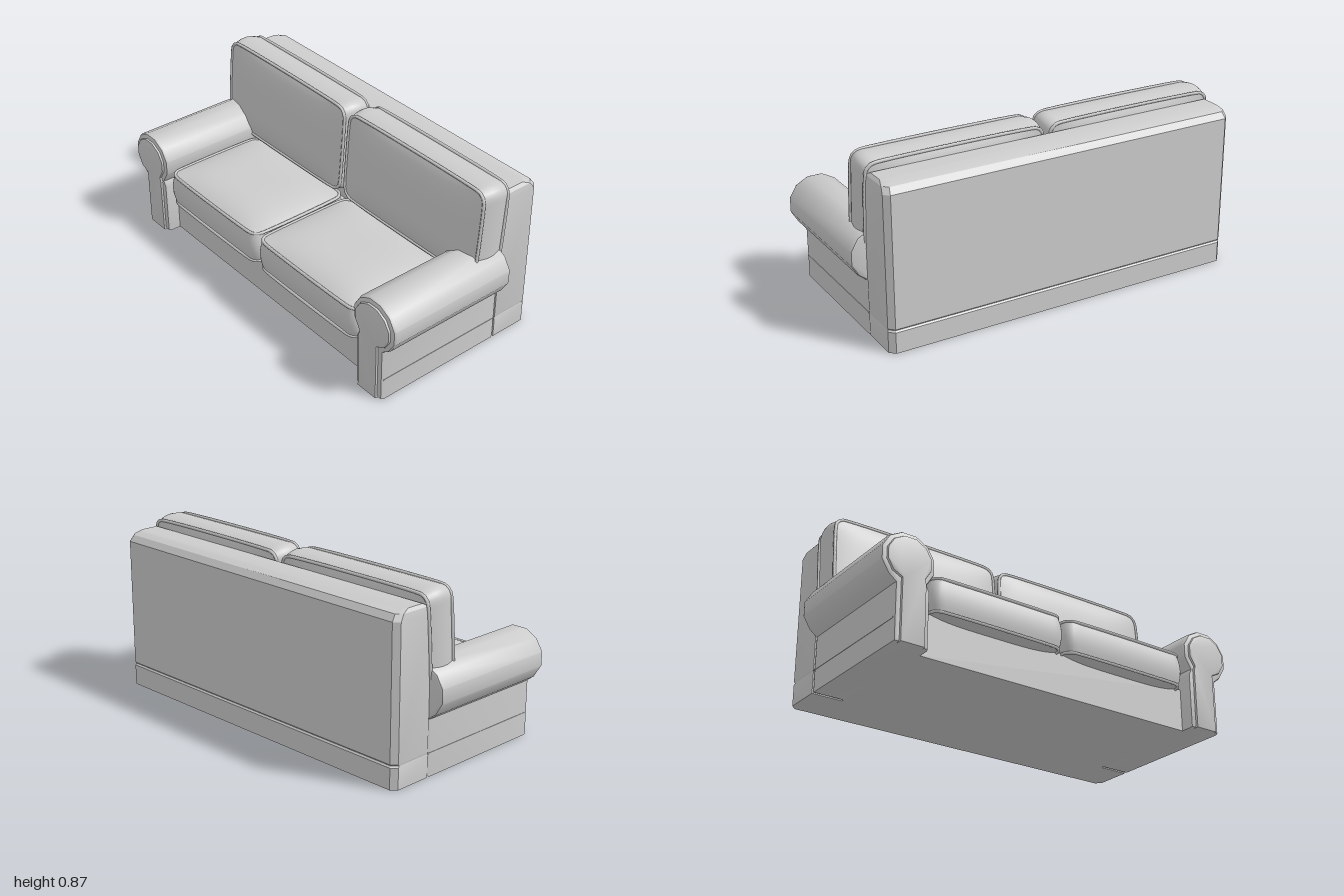
import * as THREE from 'three';
import { toCreasedNormals } from 'three/addons/utils/BufferGeometryUtils.js';

const material = new THREE.MeshStandardMaterial({ color: 0xcccccc });

function part(name, geometry, parent) {
  const mesh = new THREE.Mesh(geometry, material);
  mesh.name = name;
  parent.add(mesh);
  return mesh;
}

// Closed loft through rings of equal length, capped at both ends
function loft(rings) {
  const n = rings[0].length;
  const index = [];
  for (let r = 0; r < rings.length - 1; r++) {
    for (let i = 0; i < n; i++) {
      const j = (i + 1) % n, a = r * n + i, b = r * n + j;
      index.push(a, a + n, b, b, a + n, b + n);
    }
  }
  const top = (rings.length - 1) * n;
  for (let i = 1; i < n - 1; i++) {
    index.push(0, i, i + 1, top, top + i + 1, top + i);
  }
  const geometry = new THREE.BufferGeometry();
  geometry.setAttribute('position', new THREE.Float32BufferAttribute(rings.flat(2), 3));
  geometry.setIndex(index);
  return toCreasedNormals(geometry, 0.4);
}

// Backrest ring: plan with cut rear corners, drawn in by an inset
function backRing([y, front, rear, side]) {
  const x0 = 0.25 + front, x1 = 0.465 - rear, z = 0.925 - side, c = 0.026;
  return [[x0, y, -z], [x1 - c, y, -z], [x1, y, -z + c], [x1, y, z - c], [x1 - c, y, z], [x0, y, z]];
}

// Upright with a rolled top, seen from the front; grow shrinks or widens it
function armShape(grow) {
  const points = [[0.925 + grow, 0], [0.925 + grow, 0.275 - grow]];
  for (let deg = -45; deg <= 225; deg += 30) {
    const t = THREE.MathUtils.degToRad(deg);
    points.push([0.865 + (0.14 + grow) * Math.cos(t), 0.399 + (0.133 + grow) * Math.sin(t)]);
  }
  points.push([0.752 - grow, 0.275 - grow], [0.752 - grow, 0]);
  return new THREE.Shape(points.map(([x, y]) => new THREE.Vector2(x, y)));
}

function armGeometry(grow, from, to, bevel) {
  const geometry = new THREE.ExtrudeGeometry(armShape(grow), {
    depth: from - to - 2 * bevel, bevelThickness: bevel, bevelSize: bevel,
    bevelOffset: -bevel, bevelSegments: 2, curveSegments: 1,
  });
  geometry.translate(0, 0, bevel - from).rotateY(-Math.PI / 2);
  return toCreasedNormals(geometry, 0.65);
}

// Pillow with rounded corners, crowned faces and bulging sides; thickness along y
function cushionGeometry({ a, b, t, r, crown, bulge }) {
  const geometry = new THREE.BoxGeometry(2, 2, 2, 28, 6, 36);
  const pos = geometry.attributes.position;
  for (let i = 0; i < pos.count; i++) {
    const u = pos.getX(i), n = pos.getY(i), v = pos.getZ(i);
    const cx = THREE.MathUtils.clamp(u * a, r - a, a - r);
    const cz = THREE.MathUtils.clamp(v * b, r - b, b - r);
    const dx = u * a - cx, dz = v * b - cz;
    const k = dx && dz ? Math.max(Math.abs(dx), Math.abs(dz)) / Math.hypot(dx, dz) : 1;
    const side = bulge * (1 - n * n);
    pos.setXYZ(i,
      (cx + dx * k) * (1 + side / a),
      n * (t + crown * (1 - u ** 4) * (1 - v ** 4)),
      (cz + dz * k) * (1 + side / b));
  }
  return toCreasedNormals(geometry, 0.7);
}

// Rounded rectangular welt cord at height y
function pipingGeometry({ a, b, r }, y) {
  const points = [];
  for (let corner = 0; corner < 4; corner++) {
    const sx = corner === 0 || corner === 3 ? 1 : -1;
    const sz = corner < 2 ? 1 : -1;
    for (let i = 0; i <= 4; i++) {
      const angle = (corner + i / 4) * Math.PI / 2;
      points.push(new THREE.Vector3(sx * (a - r) + r * Math.cos(angle), y, sz * (b - r) + r * Math.sin(angle)));
    }
  }
  return new THREE.TubeGeometry(new THREE.CatmullRomCurve3(points, true), 110, 0.008, 6, true);
}

function cushion(name, size) {
  const group = new THREE.Group();
  group.name = name;
  part('pillow', cushionGeometry(size), group);
  for (const s of [-1, 1]) part('piping', pipingGeometry(size, s * size.t), group);
  return group;
}

export function createModel() {
  const sofa = new THREE.Group();
  sofa.name = 'sofa';

  // Backrest: skirt seam near the floor, softened top; rows are y, front, rear and side insets
  part('backrest', loft([
    [0, 0, 0, 0], [0.104, 0, 0, 0], [0.112, 0, 0.007, 0.003], [0.12, 0, 0, 0],
    [0.765, 0, 0, 0], [0.795, 0.015, 0.022, 0.006], [0.81, 0.038, 0.06, 0.018],
  ].map(backRing)), sofa);

  // Seat base, set back between the arms
  const base = part('seatBase', new THREE.BoxGeometry(0.64, 0.215, 1.54), sofa);
  base.position.set(-0.065, 0.1075, 0);

  const seatSize = { a: 0.275, b: 0.352, t: 0.08, r: 0.05, crown: 0.04, bulge: 0.012 };
  const backSize = { a: 0.228, b: 0.452, t: 0.075, r: 0.05, crown: 0.03, bulge: 0.014 };

  for (const side of [-1, 1]) {
    const label = side > 0 ? 'left' : 'right';

    // Rolled arm with a raised front panel and skirt seam
    const arm = new THREE.Group();
    arm.name = label + 'Arm';
    arm.rotation.z = 0;
    part('armBody', armGeometry(0, 0.25, -0.455, 0.015), arm);
    part('armFrontPanel', armGeometry(-0.025, -0.4, -0.467, 0.008), arm);
    const seam = part('skirtSeam', new THREE.BoxGeometry(0.69, 0.006, 0.004), arm);
    seam.position.set(-0.095, 0.113, 0.925);
    if (side < 0) {
      // Mirror across the middle
      arm.scale.z = -1;
    }
    sofa.add(arm);

    // Seat cushion
    const seat = cushion(label + 'SeatCushion', seatSize);
    seat.position.set(-0.16, 0.29, side * 0.367);
    sofa.add(seat);

    // Back cushion, leaning against the backrest and resting over the arm
    const back = cushion(label + 'BackCushion', backSize);
    back.rotation.z = Math.PI / 2 - 0.075;
    back.position.set(0.182, 0.623, side * 0.472);
    sofa.add(back);
  }
  return sofa;
}
